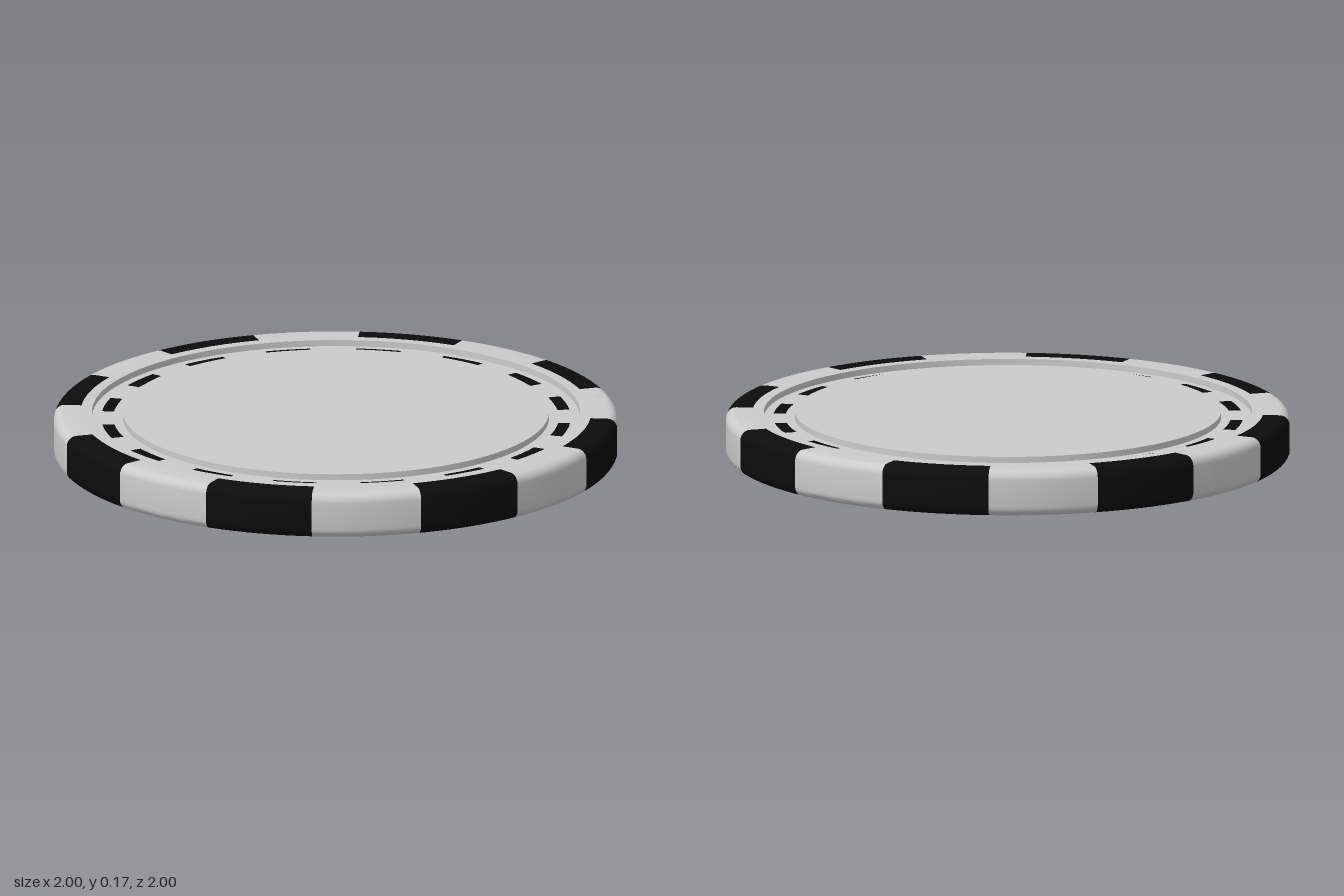
import * as THREE from 'three';
import { toCreasedNormals } from 'three/addons/utils/BufferGeometryUtils.js';

const H = 0.165;        // thickness
const DEPTH = 0.022;    // depth of the channel on each face
const R_FACE = 0.755, R_CHANNEL = 0.865, R_INSERT = 0.905;
const STEP = Math.PI / 8;

const grey = new THREE.MeshStandardMaterial({ color: 0xcccccc });
const black = new THREE.MeshStandardMaterial({ color: 0x0c0c0c });

// Revolves [radius, y] points, running counter-clockwise around the section
function revolve(name, points, material, segments, start = 0, sweep = Math.PI * 2) {
  const profile = points.map(([r, y]) => new THREE.Vector2(r, y));
  const geometry = new THREE.LatheGeometry(profile, segments, start, sweep);
  const mesh = new THREE.Mesh(toCreasedNormals(geometry, 0.6), material);
  mesh.name = name;
  return mesh;
}

// Mirrors a section to the other face, keeping its direction
const flip = (points) => points.map(([r, y]) => [r, H - y]).reverse();

export function createModel() {
  const chip = new THREE.Group();
  chip.name = 'chip';

  // Core: raised centre disc, sunken channel and inner rim on both faces
  const lower = [
    [0, 0], [R_FACE, 0], [R_FACE, DEPTH],
    [R_CHANNEL, DEPTH], [R_CHANNEL, 0], [R_INSERT, 0],
  ];
  chip.add(revolve('core', [...lower, ...flip(lower)], grey, 128));

  // Rounded outer rim: alternating black inserts and grey blocks
  const round = 0.035;
  const edge = [[R_INSERT, 0]];
  for (let i = 0; i <= 6; i++) {
    const a = (i / 6) * Math.PI / 2;
    edge.push([1 - round + round * Math.sin(a), round - round * Math.cos(a)]);
  }
  const rimSection = [...edge, ...flip(edge)];
  for (let i = 0; i < 16; i++) {
    const dark = i % 2 === 0;
    chip.add(revolve(dark ? 'rimInsert' : 'rimBlock', rimSection,
      dark ? black : grey, 8, (i - 0.5) * STEP, STEP));
  }

  // Thin dashes lying in the channel of each face
  const floor = H - DEPTH, top = floor + 0.002;
  const dash = [[0.832, floor], [0.832, top], [0.79, top], [0.79, floor]];
  for (let i = 0; i < 16; i++) {
    chip.add(revolve('topDash', dash, black, 4, i * STEP, STEP / 2));
    chip.add(revolve('bottomDash', flip(dash), black, 4, i * STEP, STEP / 2));
  }

  return chip;
}
